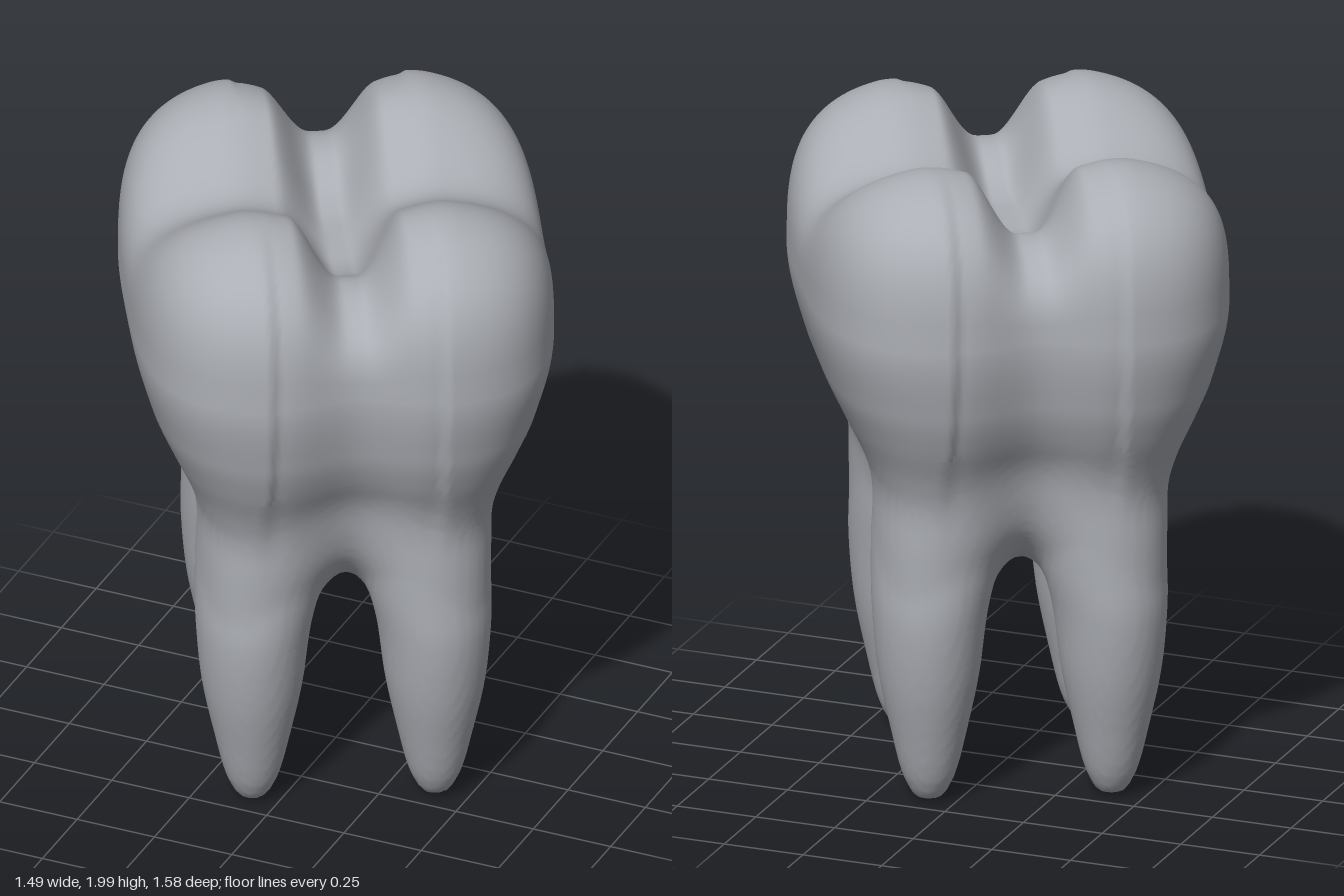
import * as THREE from 'three';

const { clamp, lerp, smoothstep } = THREE.MathUtils;

// Smooth curve through rows: returns a sampler of every column by the first one (y)
function profile(rows) {
  return (y) => {
    let k = 0;
    while (k < rows.length - 2 && y > rows[k + 1][0]) k++;
    const p0 = rows[Math.max(k - 1, 0)], p1 = rows[k];
    const p2 = rows[k + 1], p3 = rows[Math.min(k + 2, rows.length - 1)];
    const h = p2[0] - p1[0], t = (y - p1[0]) / h;
    return p1.map((v, c) => {
      const m1 = (p2[c] - p0[c]) / (p2[0] - p0[0]) * h;
      const m2 = (p3[c] - p1[c]) / (p3[0] - p1[0]) * h;
      const t2 = t * t, t3 = t2 * t;
      return (2 * t3 - 3 * t2 + 1) * v + (t3 - 2 * t2 + t) * m1
        + (3 * t2 - 2 * t3) * p2[c] + (t3 - t2) * m2;
    });
  };
}

function buildGeometry(positions, index) {
  const geometry = new THREE.BufferGeometry();
  geometry.setAttribute('position', new THREE.Float32BufferAttribute(positions, 3));
  geometry.setIndex(index);
  geometry.computeVertexNormals();
  return geometry;
}

const WIDEST = 1.54, JOIN = 1.17, ARCH = 0.74, POWER = 3.4;

// y, half width, half length, depth of the flutes between the roots
const crownProfile = profile([
  [0.70, 0.43, 0.53, 0.50],
  [0.82, 0.442, 0.555, 0.30],
  [0.95, 0.456, 0.575, 0.15],
  [1.08, 0.488, 0.612, 0.065],
  [1.20, 0.535, 0.66, 0.022],
  [1.32, 0.58, 0.697, 0.004],
  [WIDEST, 0.625, 0.733, 0],
  [1.76, 0.58, 0.697, 0],
]);

// y, centre x, centre z, radius x, radius z
const rootProfile = profile([
  [0, 0.27, 0.318, 0.004, 0.004],
  [0.015, 0.27, 0.318, 0.04, 0.044],
  [0.05, 0.27, 0.318, 0.063, 0.072],
  [0.1, 0.27, 0.32, 0.083, 0.094],
  [0.2, 0.27, 0.322, 0.107, 0.124],
  [0.4, 0.27, 0.32, 0.148, 0.182],
  [0.6, 0.266, 0.315, 0.17, 0.218],
  [0.75, 0.248, 0.292, 0.188, 0.24],
  [0.9, 0.23, 0.272, 0.196, 0.25],
  [1.05, 0.205, 0.25, 0.18, 0.235],
]);

// Radius of the rounded-rectangle outline, with flutes, in direction (c, s)
function outlineRadius([, a, b, flute], c, s) {
  const r = (Math.abs(c / a) ** POWER + Math.abs(s / b) ** POWER) ** (-1 / POWER);
  const dip = Math.cos(2 * Math.atan2(s / b, c / a)) ** 2;
  return r * (1 - Math.max(flute, 0) * dip);
}

// Hollow in both end faces, bounded by a small step along each side
function endHollow(x, y, z) {
  const d = Math.abs(x);
  const depth = 0.02 * (1 - smoothstep(d, 0.24, 0.265))
    + 0.058 * (1 - smoothstep(d, 0, 0.24));
  return Math.sign(z) * depth * smoothstep(y, 0.82, 1.15) * smoothstep(Math.abs(z), 0.2, 0.5);
}

// Chewing surface: four cusps, a cross saddle and a long groove with a sunken middle
function biteHeight(x, z) {
  const d = Math.abs(x);
  const ridge = 2.04 - 0.175 * Math.exp(-((z / 0.24) ** 2))
    - 0.06 * (1 - smoothstep(d, 0.05, 0.32));
  const floor = 1.7 + 0.13 * smoothstep(Math.abs(z), 0.1, 0.58);
  return lerp(ridge, floor, 1 - smoothstep(d, 0.025, 0.17));
}

// Upper crown: rings from the join up to the widest level, then over the cusps
function crownGeometry() {
  const side = 22, rows = 80, segments = 320;
  const positions = [], index = [];
  for (let i = 0; i <= rows; i++) {
    const t = Math.max(i - side, 0) / (rows - side);
    const scale = 1 - t ** 1.6;
    const dome = Math.max(1 - scale ** 3.2, 0) ** (1 / 3.2);
    const level = lerp(JOIN, WIDEST, Math.min(i / side, 1));
    const row = crownProfile(level);
    for (let j = 0; j < segments; j++) {
      const angle = (j / segments) * Math.PI * 2;
      const c = Math.cos(angle), s = Math.sin(angle);
      const r = outlineRadius(row, c, s) * scale;
      const x = c * r, z = s * r;
      const y = level + (biteHeight(x, z) - level) * dome;
      positions.push(x, y, z - endHollow(x, y, z));
      if (i === rows) continue;
      const a = i * segments + j, b = i * segments + (j + 1) % segments;
      index.push(a, a + segments, b, b, a + segments, b + segments);
    }
  }
  return buildGeometry(positions, index);
}

// Smooth minimum, for fillets
function blend(a, b, k) {
  const h = Math.max(k - Math.abs(a - b), 0) / k;
  return Math.min(a, b) - h * h * k / 4;
}

// Signed field of one horizontal slice: neck and four slightly twisted roots melted together
function slice(y) {
  const neck = crownProfile(Math.max(y, 0.7));
  const [, cx, cz, rx, rz] = rootProfile(clamp(y, 0, 1.05));
  return (x, z) => {
    const zn = z + endHollow(x, y, z);
    const d = Math.hypot(x, zn) || 1e-6;
    const wall = (d / outlineRadius(neck, x / d, zn / d) - 1) * 0.5;
    const body = -blend(-wall, y - ARCH, 0.06);
    const root = (sx, sz) => Math.max(-y, 0) + Math.min(rx, rz)
      * (Math.hypot((x - sx * cx + 0.01 * sz) / rx, (z - sz * cz - 0.012 * sx) / rz) - 1);
    const roots = Math.min(root(1, 1), root(-1, 1), root(1, -1), root(-1, -1));
    return blend(body, roots, 0.07);
  };
}

// Neck and roots: one vertex per grid cell crossed by the surface, joined by quads
function rootsGeometry() {
  const step = 0.02, size = [64, 63, 74], min = [-0.63, -0.04, -0.73];
  const stride = [1, size[0], size[0] * size[1]];
  const values = new Float32Array(size[0] * size[1] * size[2]);
  const each = (visit) => {
    for (let j = 0; j < size[1]; j++) {
      const field = slice(min[1] + j * step);
      for (let k = 0; k < size[2]; k++) {
        for (let i = 0; i < size[0]; i++) visit([i, j, k], i + j * stride[1] + k * stride[2], field);
      }
    }
  };
  each(([i, , k], id, field) => { values[id] = field(min[0] + i * step, min[2] + k * step); });

  const positions = [], index = [], vertexOf = new Map();
  each((p, id) => {
    if (p.some((v, d) => v === size[d] - 1)) return;
    const sum = [0, 0, 0];
    let count = 0;
    for (let d = 0; d < 3; d++) {
      const e = (d + 1) % 3, f = (d + 2) % 3;
      for (const [m, n] of [[0, 0], [1, 0], [0, 1], [1, 1]]) {
        const from = id + m * stride[e] + n * stride[f];
        const a = values[from], b = values[from + stride[d]];
        if ((a < 0) === (b < 0)) continue;
        sum[d] += a / (a - b);
        sum[e] += m;
        sum[f] += n;
        count++;
      }
    }
    if (!count) return;
    vertexOf.set(id, positions.length / 3);
    positions.push(...sum.map((v, d) => min[d] + (p[d] + v / count) * step));
  });

  each((p, id) => {
    for (let d = 0; d < 3; d++) {
      const e = (d + 1) % 3, f = (d + 2) % 3;
      if (p[d] === size[d] - 1 || !p[e] || !p[f]) continue;
      const inside = values[id] < 0;
      if (inside === (values[id + stride[d]] < 0)) continue;
      const ids = [id, id - stride[e], id - stride[e] - stride[f], id - stride[f]];
      const quad = ids.map((cell) => vertexOf.get(cell));
      if (quad.includes(undefined)) continue;
      const [q, r, s, t] = inside ? quad : quad.reverse();
      index.push(q, r, s, q, s, t);
    }
  });
  return buildGeometry(positions, index);
}

export function createModel() {
  const tooth = new THREE.Group();
  tooth.name = 'molarTooth';
  const enamel = new THREE.MeshStandardMaterial({ color: 0xabaeb4 });
  enamel.name = 'greyEnamel';

  const parts = { crown: crownGeometry(), neckAndRoots: rootsGeometry() };
  for (const [name, geometry] of Object.entries(parts)) {
    // The tooth is turned about the vertical axis
    const mesh = new THREE.Mesh(geometry, enamel);
    mesh.name = name;
    mesh.rotation.y = Math.PI / 6;
    tooth.add(mesh);
  }
  return tooth;
}
